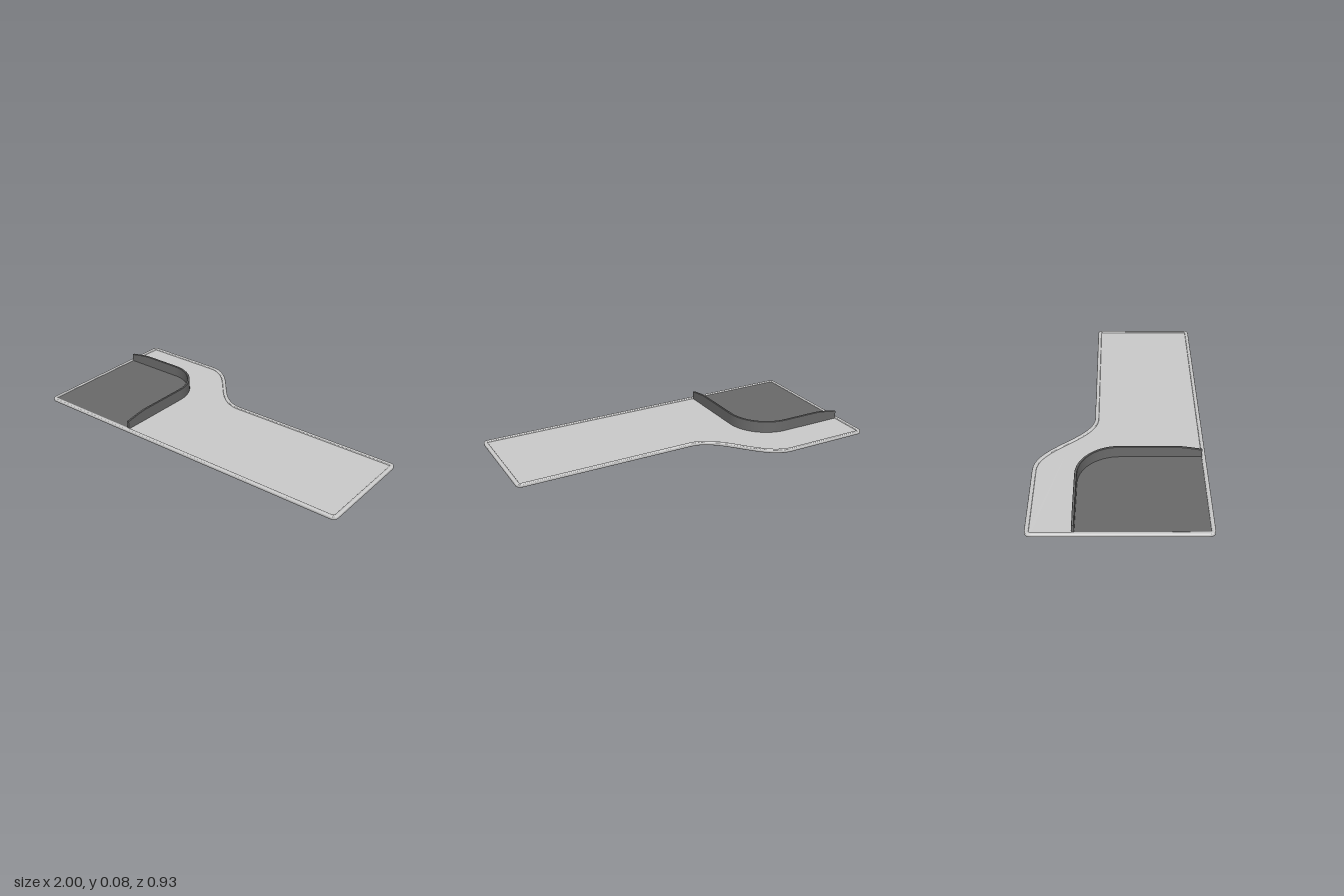
import * as THREE from 'three';
import { toCreasedNormals } from 'three/addons/utils/BufferGeometryUtils.js';

const V = (x, z) => new THREE.Vector2(x, z);

// Moves a plan path sideways by d (towards its left, the inside)
function inset(path, d, closed) {
  const n = path.length;
  return path.map((p, i) => {
    const prev = closed ? path[(i + n - 1) % n] : path[Math.max(i - 1, 0)];
    const next = closed ? path[(i + 1) % n] : path[Math.min(i + 1, n - 1)];
    let a = p.clone().sub(prev).normalize();
    let b = next.clone().sub(p).normalize();
    if (a.length() === 0) a = b;
    if (b.length() === 0) b = a;
    const t = a.clone().add(b).normalize();
    const k = d / Math.max(t.dot(a), 0.5);
    return V(p.x - t.y * k, p.y + t.x * k);
  });
}

// Sweeps a closed section of [inset, y] corners along a plan path
function sweep(path, section, closed) {
  const n = path.length, m = section(0).length;
  const pos = [], idx = [];
  const rails = section(0).map(([d]) => inset(path, d, closed));
  for (let i = 0; i < n; i++) {
    section(i).forEach(([, y], j) => pos.push(rails[j][i].x, y, rails[j][i].y));
  }
  for (let i = 0; i < (closed ? n : n - 1); i++) {
    for (let j = 0; j < m; j++) {
      const i2 = (i + 1) % n, j2 = (j + 1) % m;
      const a = i * m + j, b = i2 * m + j, c = i * m + j2, d = i2 * m + j2;
      idx.push(a, c, b, b, c, d);
    }
  }
  if (!closed) {
    const e = (n - 1) * m;
    for (let j = 1; j < m - 1; j++) idx.push(0, j + 1, j, e, e + j, e + j + 1);
  }
  const g = new THREE.BufferGeometry();
  g.setAttribute('position', new THREE.Float32BufferAttribute(pos, 3));
  g.setIndex(idx);
  return toCreasedNormals(g, 0.7);
}

// Flat plate with the given plan, its upper face at y = top
function plate(path, top, thickness) {
  const g = new THREE.ExtrudeGeometry(new THREE.Shape(path), { depth: thickness, bevelEnabled: false });
  return g.rotateX(Math.PI / 2).translate(0, top, 0);
}

export function createModel() {
  const group = new THREE.Group();
  const grey = new THREE.MeshStandardMaterial({ color: 0xcccccc });
  const dark = new THREE.MeshStandardMaterial({ color: 0x6a6a6a });
  const add = (name, geometry, material) => {
    const mesh = new THREE.Mesh(geometry, material);
    mesh.name = name;
    group.add(mesh);
  };

  // Tray outline: deep on the right, stepping down through an S-curve
  const r = 0.035, back = -0.465, step = -0.14, front = 0.465;
  const s = new THREE.Shape();
  s.moveTo(-1 + r, back);
  s.lineTo(-0.5, back);
  s.bezierCurveTo(-0.3, back, -0.22, step, -0.03, step);
  s.lineTo(1 - r, step);
  s.quadraticCurveTo(1, step, 1, step + r);
  s.lineTo(1, front - r);
  s.quadraticCurveTo(1, front, 1 - r, front);
  s.lineTo(-1 + r, front);
  s.quadraticCurveTo(-1, front, -1, front - r);
  s.lineTo(-1, back + r);
  s.quadraticCurveTo(-1, back, -1 + r, back);
  const outline = s.getPoints(20);
  outline.pop();

  // Rounded rim section
  const w = 0.022, h = 0.02, c = 0.006, rim = [];
  const corners = [[c, c, 180], [c, h - c, 180], [w - c, h - c, 90], [w - c, c, 0]];
  corners.forEach(([x, y, a0], k) => {
    const start = [270, 180, 90, 0][k];
    for (let q = 0; q <= 4; q++) {
      const a = THREE.MathUtils.degToRad(start - q * 22.5);
      rim.push([x + c * Math.cos(a), y + c * Math.sin(a)]);
    }
  });
  add('rim', sweep(outline, () => rim, true), grey);
  add('trayFloor', plate(inset(outline, w - 0.004, true), 0.013, 0.007), grey);

  // Curved divider path, from the right edge round to the front edge
  const x0 = -0.98, x1 = -0.375, z0 = -0.235, z1 = 0.445, R = 0.235;
  const path = [];
  for (let i = 0; i < 12; i++) path.push(V(x0 + (x1 - R - x0) * i / 12, z0));
  for (let i = 0; i <= 24; i++) {
    const a = -Math.PI / 2 + (Math.PI / 2) * i / 24;
    path.push(V(x1 - R + R * Math.cos(a), z0 + R + R * Math.sin(a)));
  }
  for (let i = 1; i <= 16; i++) path.push(V(x1, z0 + R + (z1 - z0 - R) * i / 16));

  // Divider wall, sloping down near both ends
  const height = (p) => {
    const d = Math.min(p.x - x0, z1 - p.y);
    return 0.081 - 0.02 * Math.pow(Math.max(0, 1 - d / 0.14), 1.3);
  };
  const wall = (i) => {
    const y = height(path[i]);
    return [[0, 0.01], [0, y - 0.002], [0.002, y], [0.011, y], [0.013, y - 0.002], [0.013, 0.01]];
  };
  add('dividerWall', sweep(path, wall, false), dark);

  // Dark pad enclosed by the divider
  add('padFloor', plate([...path, V(x0, z1)], 0.016, 0.005), dark);
  return group;
}
